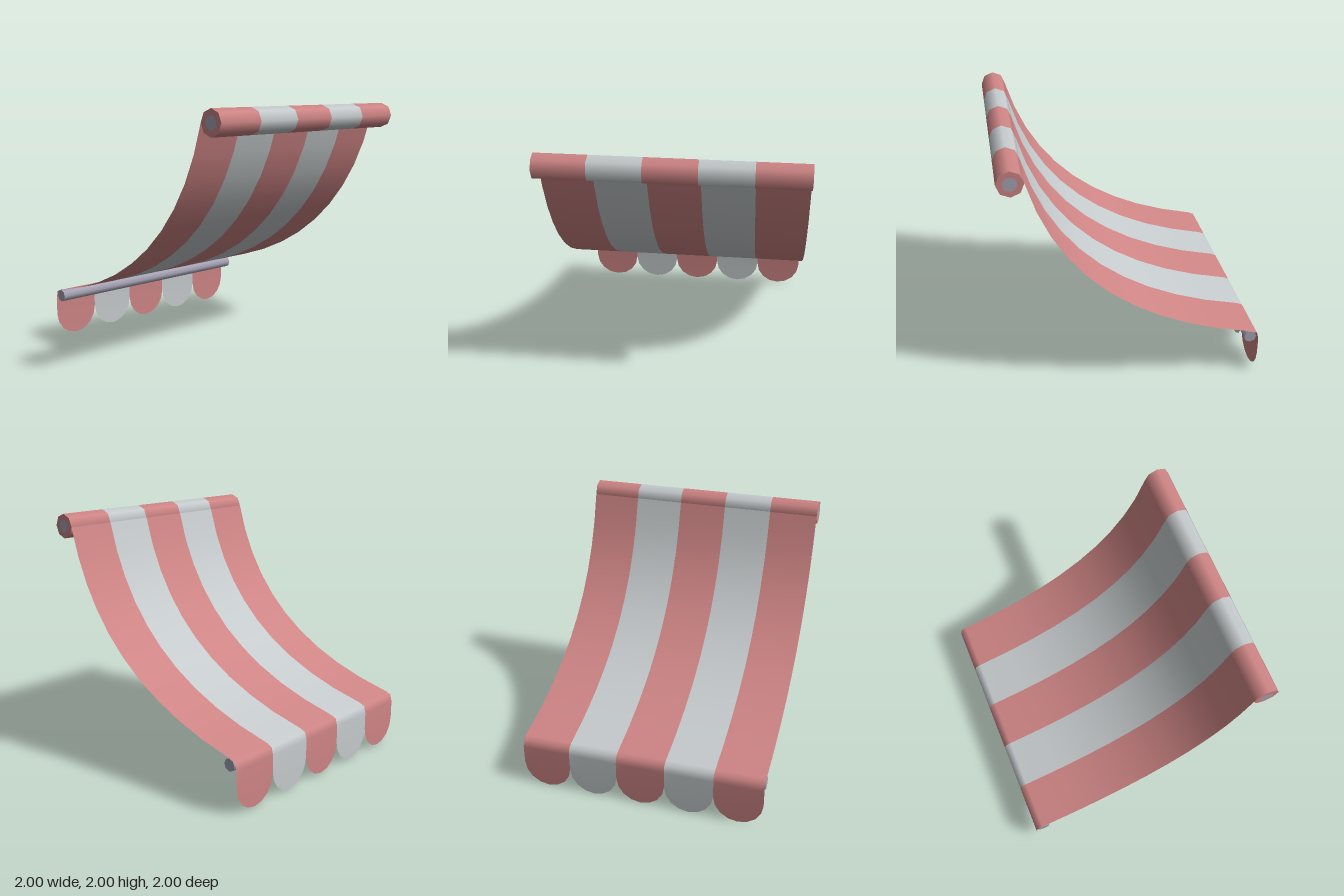
import * as THREE from 'three';

const mat = (name, color, side = THREE.FrontSide) =>
  new THREE.MeshStandardMaterial({ name, color, side });

const STRIPES = 5;
const WIDTH = 2 / STRIPES;

// Sagging side profile: from the roller down to the rail, then folded into the valance
const sag = new THREE.QuadraticBezierCurve(
  new THREE.Vector2(0.8, 1.9), new THREE.Vector2(0.495, 0.71), new THREE.Vector2(-0.94, 0.42));
const PROFILE = [
  ...sag.getPoints(10).map((p) => [p.x, p.y]),
  [-0.985, 0.4], [-1, 0.34],
];

// One strip of cloth; its last row follows a half-round scallop
function clothStrip() {
  const cols = 8, rows = PROFILE.length + 1;
  const pos = [], index = [];
  for (let r = 0; r < rows; r++) {
    for (let c = 0; c <= cols; c++) {
      const a = (c / cols) * Math.PI;
      const [x, y] = r < PROFILE.length ? PROFILE[r] : [-1, 0.2 - 0.2 * Math.sin(a)];
      pos.push(x, y, -Math.cos(a) * WIDTH / 2);
      if (r < rows - 1 && c < cols) {
        const i = r * (cols + 1) + c, j = i + cols + 1;
        index.push(i, j, i + 1, i + 1, j, j + 1);
      }
    }
  }
  const g = new THREE.BufferGeometry();
  g.setAttribute('position', new THREE.Float32BufferAttribute(pos, 3));
  g.setIndex(index);
  g.computeVertexNormals();
  return g;
}

export function createModel() {
  const group = new THREE.Group();
  group.name = 'awning';
  const red = mat('red cloth', 0xcf8585, THREE.DoubleSide);
  const grey = mat('pale grey cloth', 0xc6cbcd, THREE.DoubleSide);
  const metal = mat('metal', 0xa6a4b4);

  const add = (name, geometry, material, x, y, z) => {
    const m = new THREE.Mesh(geometry, material);
    m.name = name;
    m.position.set(x, y, z);
    group.add(m);
    return m;
  };

  // Striped cloth and the matching sleeves around the roller
  const strip = clothStrip();
  const sleeve = new THREE.CylinderGeometry(0.1, 0.1, WIDTH, 8, 1, true).rotateX(Math.PI / 2);
  for (let i = 0; i < STRIPES; i++) {
    const z = -1 + WIDTH * (i + 0.5);
    const m = i % 2 ? grey : red;
    add('clothStripe' + (i + 1), strip, m, 0, 0, z);
    add('rollerStripe' + (i + 1), sleeve, m, 0.9, 1.9, z);
  }

  // Roller ends with the metal core showing
  for (const s of [-1, 1]) {
    const end = add('rollerEnd', new THREE.CircleGeometry(0.1, 8), red, 0.9, 1.9, s);
    const core = add('rollerCore', new THREE.CircleGeometry(0.053, 16), metal, 0.9, 1.9, s * 1.002);
    if (s < 0) end.rotation.y = core.rotation.y = Math.PI;
  }

  // Front rail holding up the lower edge
  add('frontRail', new THREE.CylinderGeometry(0.05, 0.05, 2, 8).rotateX(Math.PI / 2),
    metal, -0.93, 0.37, 0);

  return group;
}
